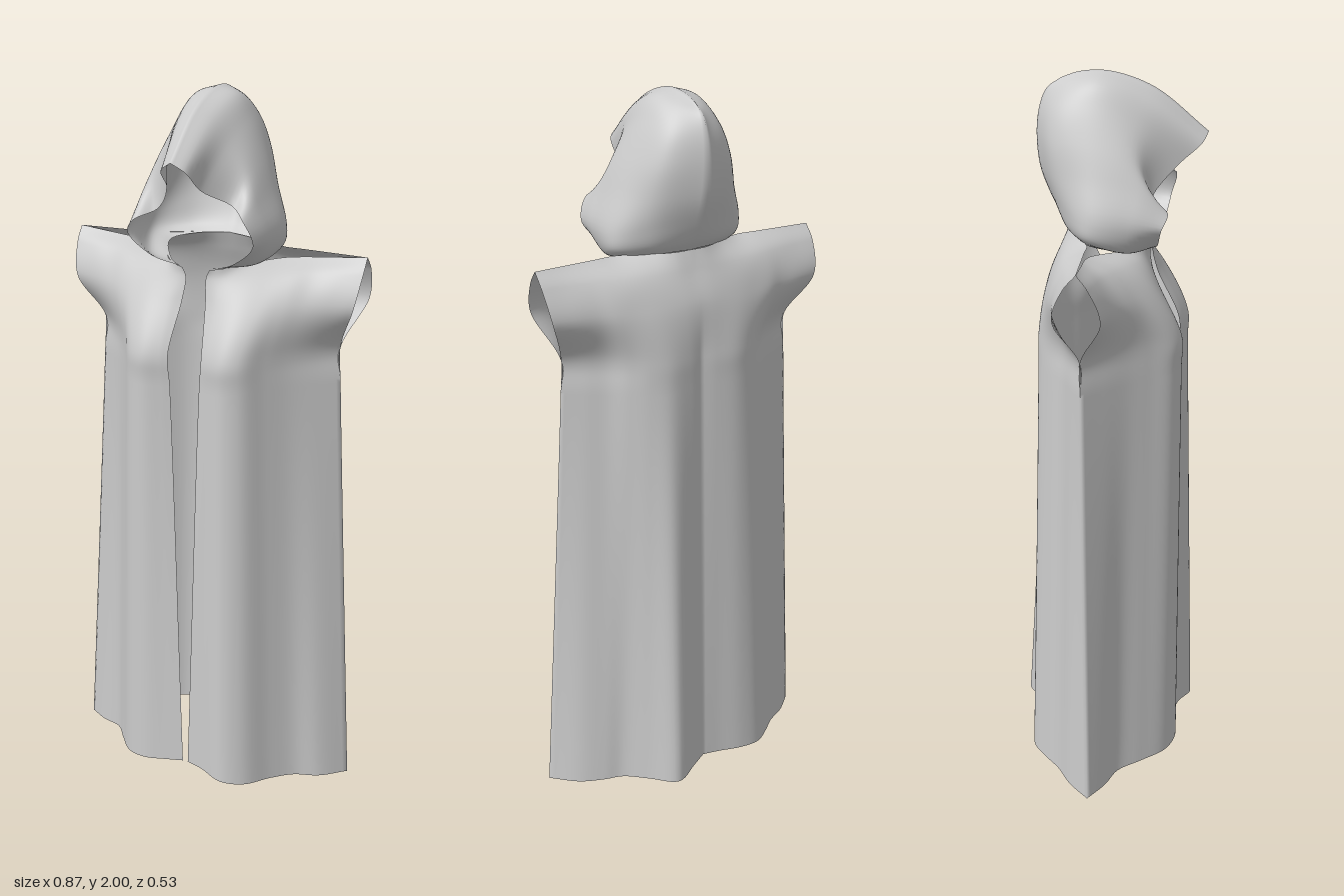
import * as THREE from 'three';
import { mergeGeometries, mergeVertices } from 'three/addons/utils/BufferGeometryUtils.js';

const cloth = new THREE.MeshStandardMaterial({ color: 0xcccccc, side: THREE.DoubleSide });

// Smooth curve through points, sampled evenly per point interval
function sample(points, n) {
  const curve = new THREE.CatmullRomCurve3(points);
  return Array.from({ length: n + 1 }, (_, i) => curve.getPoint(i / n));
}

// Smooth sheet through rows of points
function sheet(rows, nu, nv, flip) {
  const wide = rows.map((r) => sample(r, nu));
  const columns = wide[0].map((_, i) => sample(wide.map((r) => r[i]), nv));
  const index = [];
  for (let i = 0; i < nu; i++) {
    for (let j = 0; j < nv; j++) {
      const a = i * (nv + 1) + j, b = a + nv + 1;
      if (flip) index.push(a, a + 1, b, b, a + 1, b + 1);
      else index.push(a, b, a + 1, b, b + 1, a + 1);
    }
  }
  const geometry = new THREE.BufferGeometry().setFromPoints(columns.flat());
  geometry.setIndex(index);
  return geometry;
}

// Join sheets, sharing vertices along the seams
function sew(name, sheets) {
  const geometry = mergeVertices(mergeGeometries(sheets), 1e-4);
  geometry.computeVertexNormals();
  const mesh = new THREE.Mesh(geometry, cloth);
  mesh.name = name;
  return mesh;
}

// Robe: depth z at fixed fractions of the half width, centre to side
const FRACTIONS = [0, 0.12, 0.3, 0.45, 0.58, 0.7, 0.85, 1];
const HEM = {
  frontLeft: [0.2, 0.21, 0.24, 0.215, 0.14, 0.085, 0.05, -0.02],
  frontRight: [0.2, 0.205, 0.21, 0.185, 0.12, 0.055, 0.025, -0.02],
  backLeft: [-0.195, -0.225, -0.265, -0.2, -0.145, -0.125, -0.09, -0.02],
  backRight: [-0.195, -0.2, -0.212, -0.205, -0.165, -0.12, -0.08, -0.02],
};
// Upper rows: chest, mid armhole, high armhole, shoulder seam
const UPPER = {
  front: [
    [0.19, 0.2, 0.21, 0.19, 0.13, 0.075, 0.015, -0.04],
    [0.13, 0.14, 0.14, 0.12, 0.09, 0.06, 0.035, 0.02],
    [0.115, 0.11, 0.08, 0.05, 0.03, 0.01, 0, -0.01],
    [0.115, 0.1, 0.02, -0.03, -0.04, -0.04, -0.04, -0.04],
  ],
  back: [
    [-0.17, -0.18, -0.185, -0.17, -0.14, -0.1, -0.07, -0.04],
    [-0.165, -0.165, -0.16, -0.15, -0.14, -0.125, -0.115, -0.105],
    [-0.13, -0.13, -0.12, -0.11, -0.1, -0.09, -0.08, -0.075],
    [-0.11, -0.105, -0.07, -0.04, -0.04, -0.04, -0.04, -0.04],
  ],
};
const WIDTH = [0.43, 0.368, 0.364, 0.42, 0.434, 0.435];
const GAP = [0.008, 0.044, 0.05, 0.035, 0.03, 0.04];
const HEIGHT = {
  front: [[0.045, 0], [1.21, 1.21], [1.3, 1.31], [1.44, 1.44], [1.505, 1.53], [1.53, 1.572]],
  back: [[0.03, 0], [1.21, 1.21], [1.3, 1.31], [1.44, 1.44], [1.53, 1.53], [1.58, 1.572]],
};

function robePanel(face, side) {
  const hem = HEM[face + (side > 0 ? 'Left' : 'Right')];
  const [chest, ...rest] = UPPER[face];
  const underarm = chest.map((z, i) => THREE.MathUtils.lerp(hem[i], z, 0.93));
  const rows = [hem, underarm, chest, ...rest].map((depths, r) =>
    depths.map((z, i) => {
      const s = FRACTIONS[i];
      const gap = face === 'front' ? GAP[r] * (1 - s) ** 4 : 0;
      const [middle, edge] = HEIGHT[face][r];
      return new THREE.Vector3(side * (WIDTH[r] * s + gap), THREE.MathUtils.lerp(middle, edge, s), z);
    }));
  return sheet(rows, 42, 60, (face === 'front') !== (side > 0));
}

// Hood: rows from the face opening to the back seam, each from crown to neck
const HOOD = [
  [[0, 1.845, 0.265], [0.035, 1.82, 0.25], [0.05, 1.76, 0.185], [0.11, 1.715, 0.125],
    [0.16, 1.69, 0.17], [0.185, 1.62, 0.155], [0.12, 1.56, 0.14], [0.045, 1.535, 0.12]],
  [[0, 1.96, 0.12], [0.05, 1.93, 0.11], [0.09, 1.87, 0.09], [0.135, 1.8, 0.08],
    [0.17, 1.72, 0.09], [0.2, 1.63, 0.07], [0.17, 1.555, 0.06], [0.1, 1.535, 0.06]],
  [[0, 2, 0], [0.06, 1.98, -0.02], [0.1, 1.92, -0.03], [0.14, 1.83, -0.04],
    [0.17, 1.74, -0.04], [0.2, 1.64, -0.04], [0.195, 1.59, -0.04], [0.15, 1.562, -0.04]],
  [[0, 1.997, -0.08], [0.045, 1.97, -0.1], [0.08, 1.91, -0.13], [0.105, 1.83, -0.14],
    [0.12, 1.74, -0.13], [0.125, 1.66, -0.115], [0.12, 1.6, -0.1], [0.09, 1.575, -0.085]],
  [[0, 1.98, -0.13], [0, 1.95, -0.17], [0, 1.9, -0.19], [0, 1.83, -0.198],
    [0, 1.74, -0.19], [0, 1.67, -0.165], [0, 1.61, -0.135], [0, 1.58, -0.11]],
];

function hoodHalf(side) {
  // The right lip of the opening hangs a little lower
  const rows = HOOD.map((row, r) => row.map(([x, y, z], i) => {
    const droop = side < 0 && r === 0 && (i === 3 || i === 4) ? 0.03 : 0;
    return new THREE.Vector3(side * x, y - droop, z);
  }));
  return sheet(rows, 42, 32, side < 0);
}

export function createModel() {
  const cloak = new THREE.Group();
  cloak.name = 'hoodedCloak';
  const panels = ['front', 'back'].flatMap((face) => [1, -1].map((side) => robePanel(face, side)));
  cloak.add(sew('robe', panels), sew('hood', [1, -1].map(hoodHalf)));
  return cloak;
}
